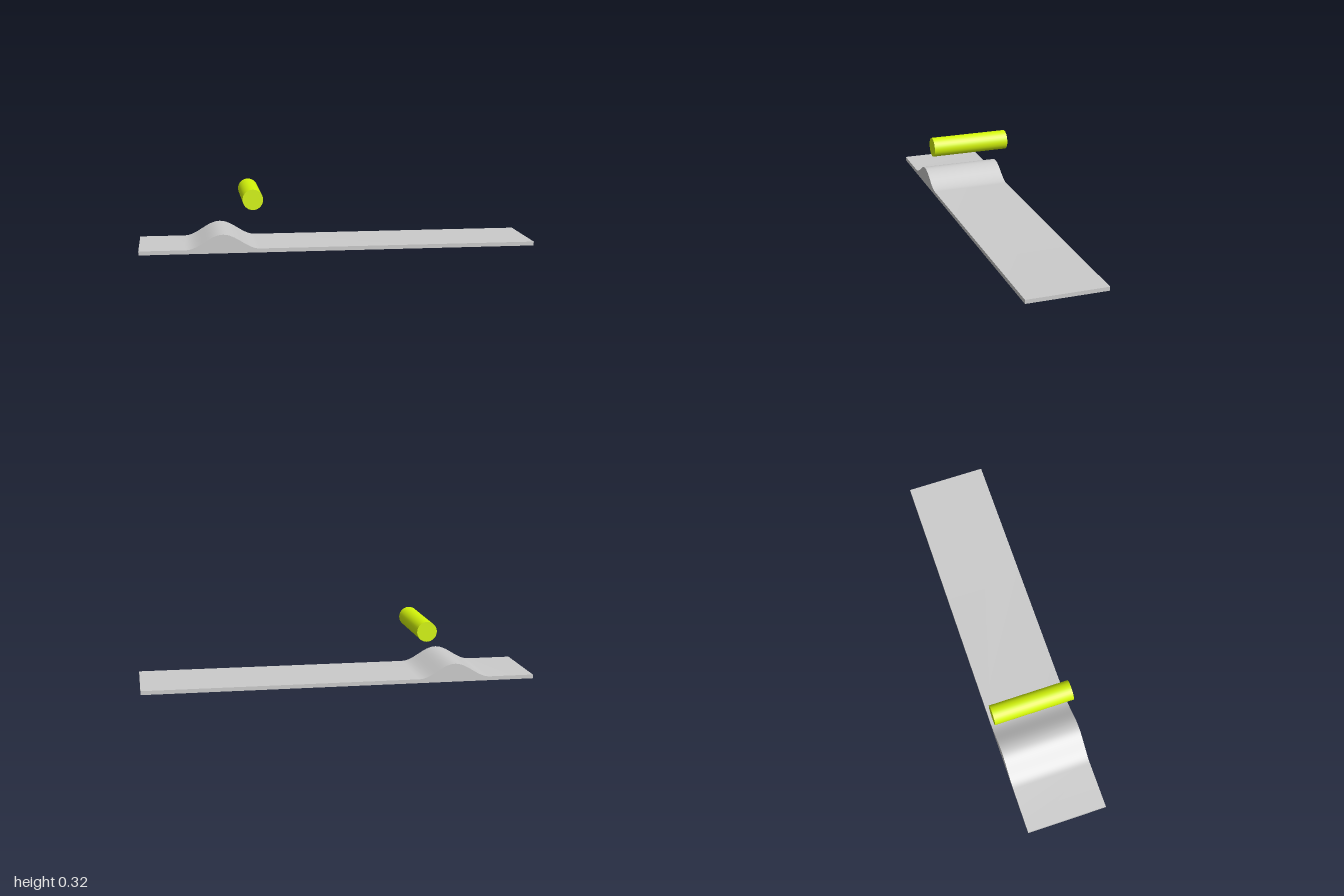
import * as THREE from 'three';
import { toCreasedNormals } from 'three/addons/utils/BufferGeometryUtils.js';

const DEPTH = 0.412;
const BASE = 0.02;
const BUMP = { x: -0.585, halfWidth: 0.185, height: 0.074, steps: 32 };

// Flat strip whose top edge rises in one raised-cosine bump
function createTrack() {
  const shape = new THREE.Shape();
  shape.moveTo(-1, 0);
  shape.lineTo(1, 0);
  shape.lineTo(1, BASE);
  for (let i = 0; i <= BUMP.steps; i++) {
    const t = 1 - (2 * i) / BUMP.steps;
    const rise = (BUMP.height * (1 + Math.cos(Math.PI * t))) / 2;
    shape.lineTo(BUMP.x + t * BUMP.halfWidth, BASE + rise);
  }
  shape.lineTo(-1, BASE);
  shape.closePath();

  const geometry = new THREE.ExtrudeGeometry(shape, { depth: DEPTH, bevelEnabled: false });
  geometry.translate(0, 0, -DEPTH / 2);
  const track = new THREE.Mesh(
    toCreasedNormals(geometry, Math.PI / 6),
    new THREE.MeshStandardMaterial({ color: 0xcccccc })
  );
  track.name = 'bumpedTrack';
  return track;
}

// Solid rod floating above the bump, lying along z
function createRoller() {
  const geometry = new THREE.CylinderGeometry(0.051, 0.051, DEPTH, 32);
  geometry.rotateX(Math.PI / 2);
  const roller = new THREE.Mesh(geometry, new THREE.MeshStandardMaterial({ color: 0xd4f50a }));
  roller.position.set(-0.435, 0.265, 0);
  roller.name = 'roller';
  return roller;
}

export function createModel() {
  const model = new THREE.Group();
  model.name = 'rollerOverBumpedTrack';
  model.add(createTrack(), createRoller());
  return model;
}
